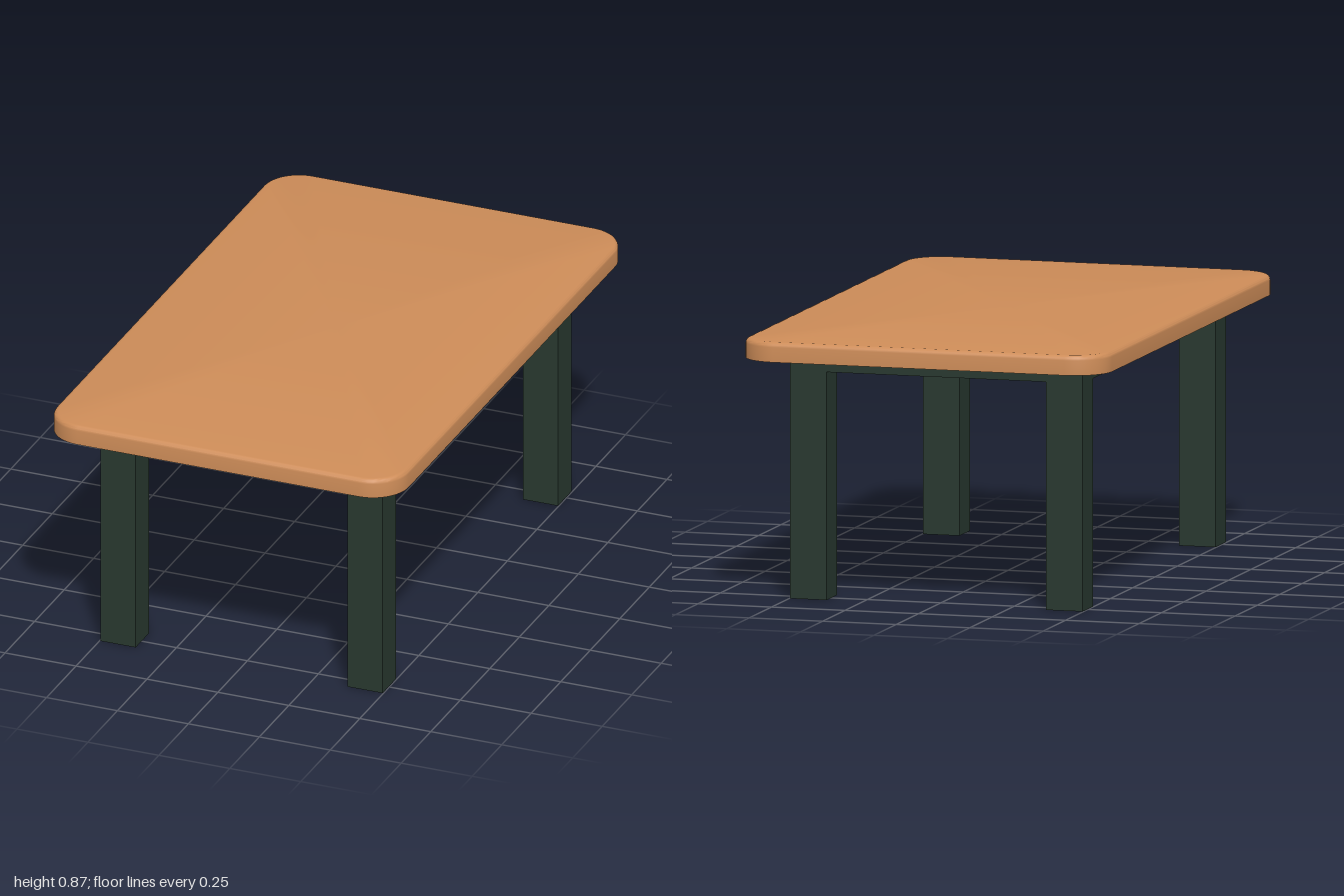
import * as THREE from 'three';
import { toCreasedNormals } from 'three/addons/utils/BufferGeometryUtils.js';

const HALF_X = 0.62, HALF_Z = 1, RADIUS = 0.125;
const TOP = 0.87, UNDER = 0.805, APRON = 0.75;

// Rounded rectangle outline at height y, pulled in by inset
function outline(inset, y, steps = 12) {
  const points = [];
  const r = RADIUS - inset;
  [[1, 1], [-1, 1], [-1, -1], [1, -1]].forEach(([sx, sz], corner) => {
    for (let i = 0; i <= steps; i++) {
      const a = (corner + i / steps) * Math.PI / 2;
      points.push([
        sx * (HALF_X - RADIUS) + r * Math.cos(a), y,
        sz * (HALF_Z - RADIUS) + r * Math.sin(a),
      ]);
    }
  });
  return points;
}

// Slab with rounded corners, a softened upper edge and a sharp lower edge
function slabGeometry() {
  const edge = 0.016, steps = 4;
  const rings = [outline(0, UNDER)];
  for (let i = 0; i <= steps; i++) {
    const a = (i / steps) * Math.PI / 2;
    rings.push(outline(edge * (1 - Math.cos(a)), TOP - edge * (1 - Math.sin(a))));
  }
  const n = rings[0].length, positions = [], index = [];
  rings.forEach(ring => ring.forEach(p => positions.push(...p)));
  const low = rings.length * n, high = low + 1, last = (rings.length - 1) * n;
  positions.push(0, UNDER, 0, 0, TOP, 0);
  for (let k = 0; k < n; k++) {
    const next = (k + 1) % n;
    for (let j = 0; j < rings.length - 1; j++) {
      const a = j * n + k, b = j * n + next;
      index.push(a, a + n, b, b, a + n, b + n);
    }
    index.push(low, k, next, high, last + next, last + k);
  }
  const geometry = new THREE.BufferGeometry();
  geometry.setAttribute('position', new THREE.Float32BufferAttribute(positions, 3));
  geometry.setIndex(index);
  return toCreasedNormals(geometry, Math.PI / 5);
}

export function createModel() {
  const table = new THREE.Group();
  table.name = 'table';
  const wood = new THREE.MeshStandardMaterial({ color: 0xcd8c58 });
  const paint = new THREE.MeshStandardMaterial({ color: 0x28382f });

  const top = new THREE.Mesh(slabGeometry(), wood);
  top.name = 'tableTop';
  table.add(top);

  const box = (name, w, h, d, x, y, z) => {
    const mesh = new THREE.Mesh(new THREE.BoxGeometry(w, h, d), paint);
    mesh.name = name;
    mesh.position.set(x, y, z);
    table.add(mesh);
  };

  // Legs and the rails between them, flush on both faces
  const outX = 0.497, outZ = 0.8, legX = 0.124, legZ = 0.115;
  const cx = outX - legX / 2, cz = outZ - legZ / 2;
  const railY = (UNDER + APRON) / 2, railH = UNDER - APRON;
  for (const s of [-1, 1]) {
    const side = s > 0 ? 'left' : 'right', end = s > 0 ? 'front' : 'back';
    for (const t of [-1, 1]) {
      box(`${side}${t > 0 ? 'Front' : 'Back'}Leg`, legX, UNDER, legZ, s * cx, UNDER / 2, t * cz);
    }
    box(`${side}Rail`, legX, railH, 2 * (outZ - legZ), s * cx, railY, 0);
    box(`${end}Rail`, 2 * (outX - legX), railH, legZ, 0, railY, s * cz);
  }
  return table;
}
